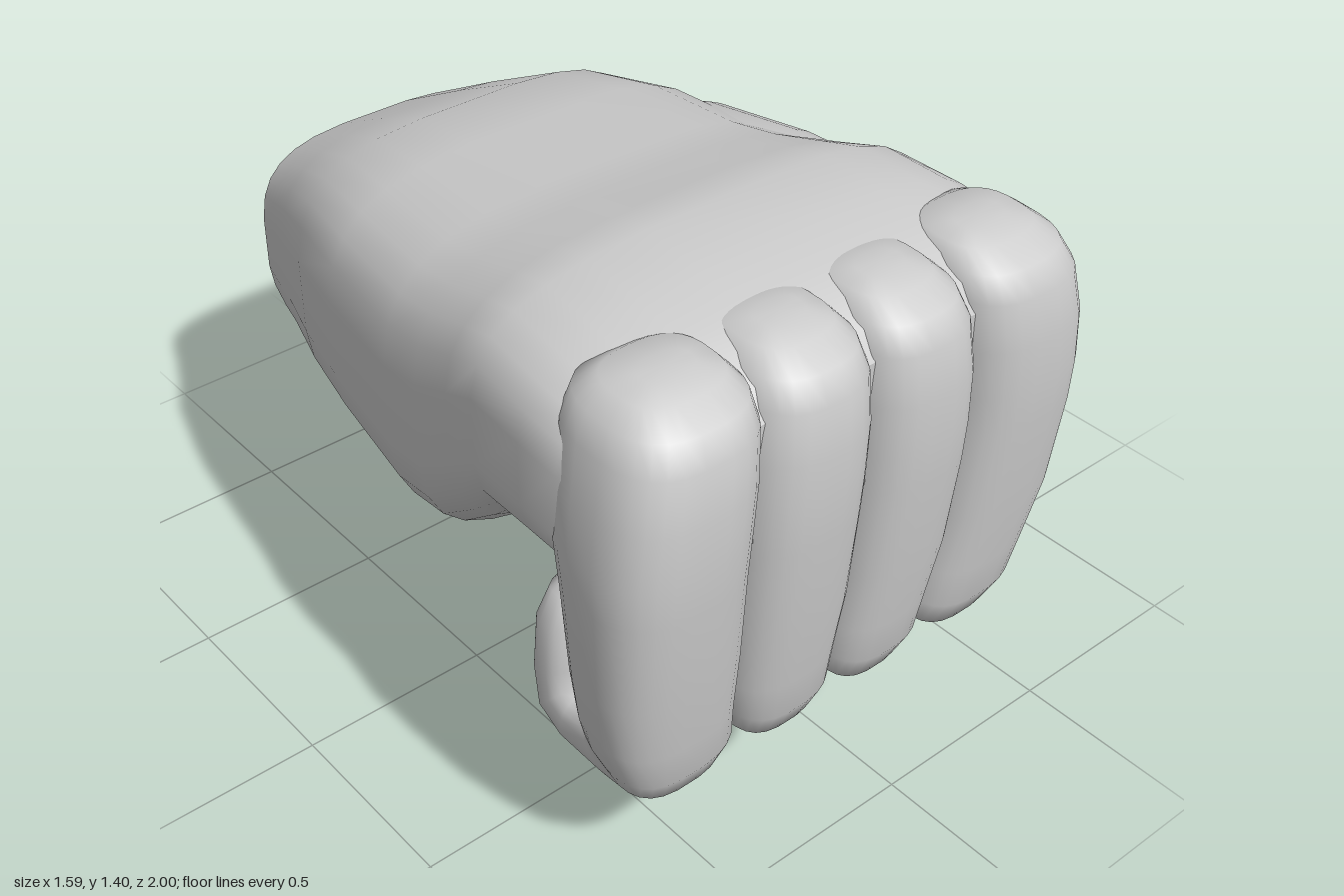
import * as THREE from 'three';

const SIDES = 28;
const V = (x, y, z) => new THREE.Vector3(x, y, z);
const material = new THREE.MeshStandardMaterial({ color: 0xcccccc });

// Rounded-square ring around a centre, spanned by two half axes
function ring(center, u, v, power) {
  const soft = (t) => Math.sign(t) * Math.abs(t) ** (2 / power);
  return Array.from({ length: SIDES }, (_, j) => {
    const a = ((j + 0.5) / SIDES) * Math.PI * 2;
    return center.clone()
      .addScaledVector(u, soft(Math.cos(a)))
      .addScaledVector(v, soft(Math.sin(a)));
  });
}

// Skin a list of rings; ends get their own vertices when they must stay flat
function loft(name, rings, flatEnds) {
  const pos = [], index = [];
  const add = (p) => pos.push(p.x, p.y, p.z) / 3 - 1;
  rings.forEach((r) => r.forEach(add));
  for (let i = 0; i < rings.length - 1; i++) {
    for (let j = 0; j < SIDES; j++) {
      const k = (j + 1) % SIDES;
      const a = i * SIDES + j, b = i * SIDES + k;
      index.push(a, b, a + SIDES, b, b + SIDES, a + SIDES);
    }
  }
  for (const end of [0, rings.length - 1]) {
    const r = rings[end];
    const c = add(r.reduce((s, p) => s.add(p), V(0, 0, 0)).divideScalar(SIDES));
    const ids = flatEnds ? r.map(add) : r.map((_, j) => end * SIDES + j);
    for (let j = 0; j < SIDES; j++) {
      const k = (j + 1) % SIDES;
      if (end === 0) index.push(c, ids[k], ids[j]);
      else index.push(c, ids[j], ids[k]);
    }
  }
  const g = new THREE.BufferGeometry();
  g.setAttribute('position', new THREE.Float32BufferAttribute(pos, 3));
  g.setIndex(index);
  g.computeVertexNormals();
  const mesh = new THREE.Mesh(g, material);
  mesh.name = name;
  return mesh;
}

// Rings across z from rows of: z, x min, x max, y min, y max
const slices = (rows, power) => rows.map(([z, x0, x1, y0, y1]) => ring(
  V((x0 + x1) / 2, (y0 + y1) / 2, z),
  V((x1 - x0) / 2, 0, 0), V(0, (y1 - y0) / 2, 0), power));

// Wrist, back of the hand and knuckle bed
const PALM = [
  [-1, -0.43, 0.32, 0.48, 1.02],
  [-0.9, -0.46, 0.355, 0.46, 1.07],
  [-0.78, -0.5, 0.4, 0.47, 1.13],
  [-0.55, -0.59, 0.485, 0.5, 1.235],
  [-0.3, -0.66, 0.53, 0.515, 1.28],
  [0, -0.71, 0.53, 0.49, 1.305],
  [0.15, -0.73, 0.53, 0.53, 1.335],
  [0.3, -0.75, 0.535, 0.66, 1.375],
  [0.42, -0.768, 0.555, 0.78, 1.4],
  [0.6, -0.785, 0.568, 0.81, 1.385],
  [0.72, -0.785, 0.565, 0.81, 1.365],
  [0.81, -0.75, 0.53, 0.82, 1.34],
  [0.88, -0.68, 0.46, 0.86, 1.3],
  [0.92, -0.6, 0.38, 0.92, 1.24],
];

// Flesh between thumb and index finger
const THUMB_WEB = [
  [-0.7, 0.1, 0.38, 0.8, 1],
  [-0.45, 0.1, 0.5, 0.72, 1.13],
  [-0.2, 0.1, 0.575, 0.68, 1.22],
  [0.1, 0.1, 0.6, 0.66, 1.26],
  [0.28, 0.1, 0.61, 0.7, 1.26],
  [0.37, 0.1, 0.6, 0.76, 1.24],
  [0.41, 0.1, 0.56, 0.8, 1.2],
];

// Curled finger: outer y, z, inner y, z, width factor, from knuckle to tip
const FINGER = [
  [1.365, 0.83, 1.37, 0.75, 0.35],
  [1.35, 0.89, 1.36, 0.68, 0.66],
  [1.31, 0.95, 1.33, 0.63, 0.87],
  [1.25, 0.982, 1.27, 0.62, 0.98],
  [1.13, 0.997, 1.13, 0.63, 1.03],
  [1, 0.995, 1, 0.64, 1.04],
  [0.9, 0.99, 0.88, 0.66, 1.01],
  [0.65, 0.965, 0.65, 0.68, 0.99],
  [0.47, 0.935, 0.52, 0.677, 0.95],
  [0.36, 0.92, 0.46, 0.67, 0.91],
  [0.285, 0.885, 0.45, 0.66, 0.84],
  [0.262, 0.78, 0.45, 0.65, 0.83],
  [0.265, 0.6, 0.45, 0.635, 0.83],
  [0.32, 0.5, 0.46, 0.63, 0.84],
  [0.45, 0.475, 0.5, 0.63, 0.83],
  [0.6, 0.48, 0.61, 0.625, 0.78],
  [0.68, 0.5, 0.68, 0.61, 0.6],
  [0.715, 0.53, 0.715, 0.57, 0.25],
];

function makeFinger(name, x, halfWidth) {
  let low = 2;
  return loft(name, FINGER.map(([oy, oz, iy, iz, w]) => {
    low = Math.min(low, oy);
    const lean = (low > 0.9 ? 0.5 : 0.3) * (low - 0.9) ** 2; // towards the hand's middle
    return ring(V(x + (-0.11 - x) * lean, (oy + iy) / 2, (oz + iz) / 2),
      V(0, (oy - iy) / 2, (oz - iz) / 2), V(-halfWidth * w, 0, 0), 2.7);
  }), false);
}

// Thumb: centre x, y, z, half width, half thickness, from root to tip
function makeThumb() {
  const stations = [
    [0.24, 0.84, -0.8, 0.13, 0.05],
    [0.35, 0.85, -0.54, 0.24, 0.13],
    [0.44, 0.85, -0.28, 0.31, 0.175],
    [0.485, 0.84, -0.02, 0.34, 0.18],
    [0.585, 0.75, 0.17, 0.31, 0.18],
    [0.64, 0.54, 0.31, 0.205, 0.15],
    [0.625, 0.33, 0.41, 0.165, 0.14],
    [0.54, 0.18, 0.49, 0.135, 0.14],
    [0.36, 0.14, 0.54, 0.12, 0.13],
    [0.18, 0.13, 0.55, 0.12, 0.125],
    [0.05, 0.14, 0.55, 0.095, 0.095],
    [0, 0.14, 0.55, 0.03, 0.03],
  ];
  const path = new THREE.CatmullRomCurve3(stations.map(([x, y, z]) => V(x, y, z)));
  const size = new THREE.CatmullRomCurve3(stations.map((s) => V(s[3], s[4], 0)));
  const steps = (stations.length - 1) * 3;
  const rings = [];
  for (let i = 0; i <= steps; i++) {
    const t = i / steps;
    // same curve parameter for place and size keeps the stations matched
    const along = path.getTangent(t);
    const wide = V(0, 1, 1).projectOnPlane(along).normalize();
    const thick = along.clone().cross(wide);
    const s = size.getPoint(t);
    rings.push(ring(path.getPoint(t), wide.multiplyScalar(s.x), thick.multiplyScalar(s.y), 2.4));
  }
  return loft('thumb', rings, false);
}

export function createModel() {
  const hand = new THREE.Group();
  hand.name = 'fist';
  hand.add(
    loft('palm', slices(PALM, 3.4), true),
    loft('thumbWeb', slices(THUMB_WEB, 2.6), false),
    makeThumb(),
  );
  for (const [name, x, halfWidth] of [
    ['littleFinger', -0.612, 0.186],
    ['ringFinger', -0.273, 0.166],
    ['middleFinger', 0.05, 0.163],
    ['indexFinger', 0.392, 0.184],
  ]) hand.add(makeFinger(name, x, halfWidth));
  return hand;
}
